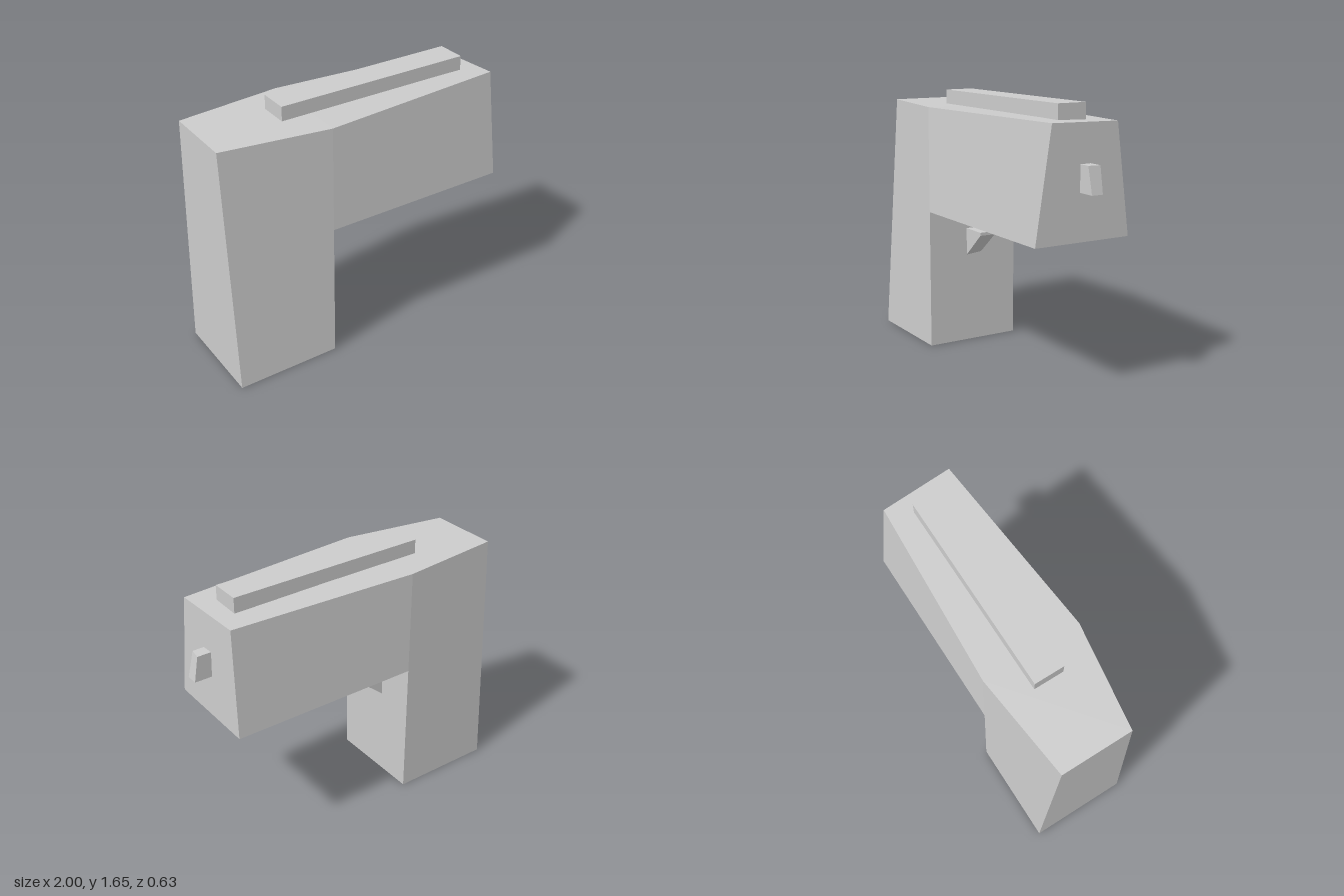
import * as THREE from 'three';

const material = new THREE.MeshStandardMaterial({ color: 0xcccccc });

// Six-sided solid from two rings of four corners, each ring ordered
// (left-front, right-front, right-back, left-back) as seen from above.
function block(name, bottom, top) {
  const p = [...bottom, ...top].map((c) => new THREE.Vector3(...c));
  const quads = [[4, 5, 6, 7], [3, 2, 1, 0], [0, 1, 5, 4], [1, 2, 6, 5], [2, 3, 7, 6], [3, 0, 4, 7]];
  const positions = [];
  const normals = [];
  for (const quad of quads) {
    const [a, b, c, d] = quad.map((i) => p[i]);
    // One normal for the whole face, even where it is slightly twisted
    const n = c.clone().sub(a).cross(d.clone().sub(b)).normalize();
    // Split along the diagonal that keeps the solid convex
    const plane = b.clone().sub(a).cross(c.clone().sub(a));
    const tris = plane.dot(d.clone().sub(a)) > 0 ? [a, b, d, b, c, d] : [a, b, c, a, c, d];
    for (const v of tris) {
      positions.push(v.x, v.y, v.z);
      normals.push(n.x, n.y, n.z);
    }
  }
  const geometry = new THREE.BufferGeometry();
  geometry.setAttribute('position', new THREE.Float32BufferAttribute(positions, 3));
  geometry.setAttribute('normal', new THREE.Float32BufferAttribute(normals, 3));
  const mesh = new THREE.Mesh(geometry, material);
  mesh.name = name;
  return mesh;
}

// Level rectangular ring for a block
const ring = (x0, x1, y, z0, z1) => [[x0, y, z1], [x1, y, z1], [x1, y, z0], [x0, y, z0]];

export function createModel() {
  const group = new THREE.Group();
  group.name = 'blockPistol';
  const back = -1, joint = -0.333, muzzle = 0.89;
  const zMin = -0.317, zMax = 0.315, topY = 1.563;

  // Upright grip, pinched at its upper rear edge
  group.add(block('grip',
    ring(back, joint, 0, zMin, zMax),
    [[back, topY, 0.21], [joint, topY, zMax], [joint, topY, zMin], [back, topY, -0.245]]));

  // Horizontal body, pinched towards the muzzle top
  group.add(block('barrelBody',
    ring(joint, muzzle, 0.893, zMin, zMax),
    [[joint, topY, zMax], [muzzle, topY, 0.213], [0.865, 1.552, -0.247], [joint, topY, zMin]]));

  // Long sight rail on top
  group.add(block('topRail',
    ring(-0.523, 0.755, 1.555, -0.107, 0.083),
    ring(-0.523, 0.755, 1.653, -0.107, 0.083)));

  // Small muzzle nub with a sloped end
  group.add(block('muzzleNub',
    ring(0.86, 1, 1.172, -0.05, 0.023),
    [[0.86, 1.33, 0.023], [0.962, 1.33, 0.023], [0.973, 1.33, -0.05], [0.86, 1.33, -0.05]]));

  // Wedge-shaped trigger
  group.add(block('trigger',
    [[joint, 0.582, 0.045], [-0.155, 0.74, 0.045], [-0.155, 0.74, -0.063], [joint, 0.592, -0.063]],
    ring(joint, -0.155, 0.76, -0.063, 0.045)));

  return group;
}
